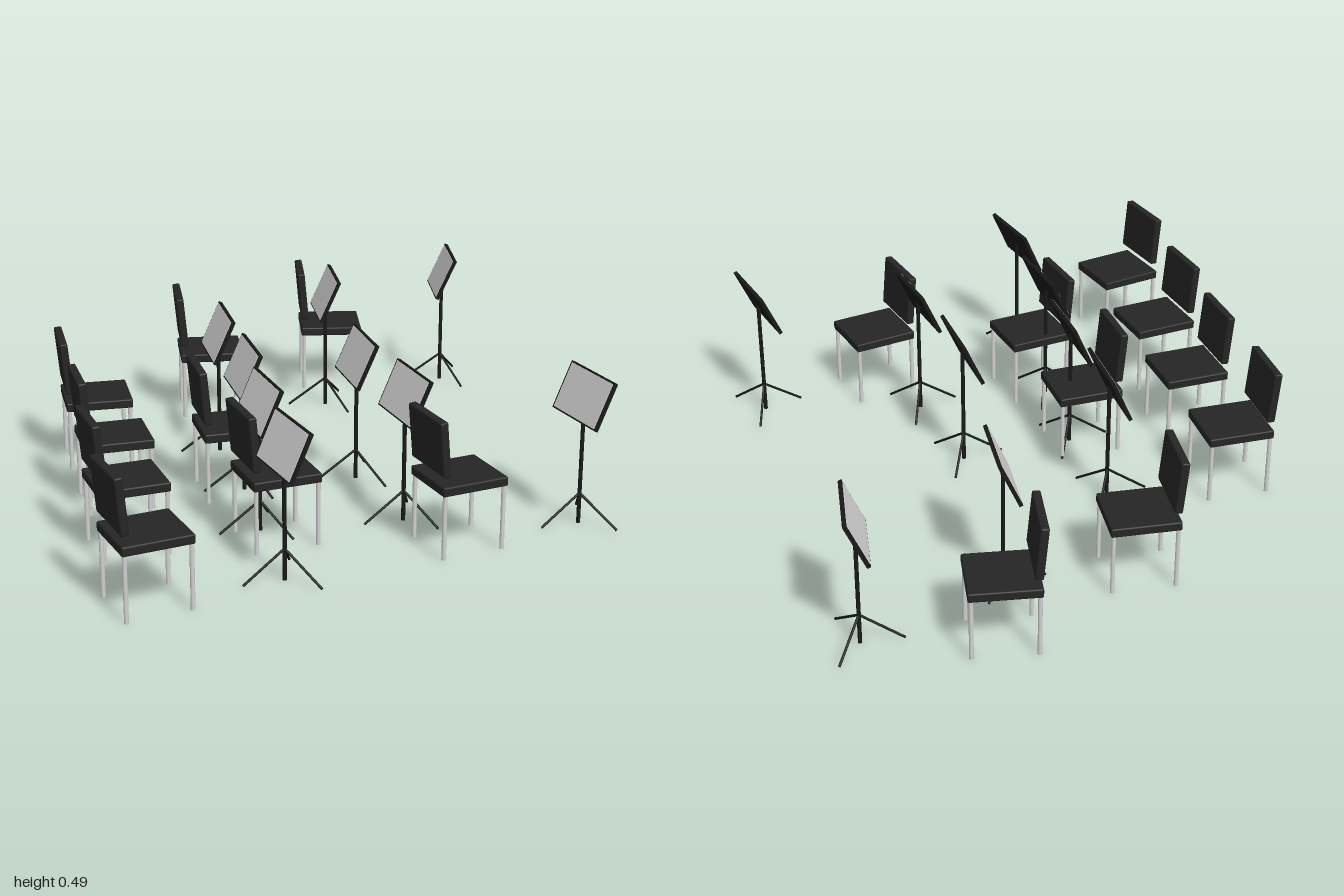
import * as THREE from 'three';
import { RoundedBoxGeometry } from 'three/addons/geometries/RoundedBoxGeometry.js';

const mat = (name, color) => {
  const m = new THREE.MeshStandardMaterial({ color });
  m.name = name;
  return m;
};

// x, z and turn in degrees; everything faces +x before turning
const CHAIRS = [
  [0.285, -0.88, -9.5], [-0.205, -0.68, -5.5], [-0.665, -0.28, -0.5],
  [-0.658, 0.11, 3], [-0.277, 0.10, 2], [-0.672, 0.478, 8],
  [-0.22, 0.513, 9], [-0.672, 0.875, 12.5], [0.31, 0.672, 12],
];
const STANDS = [
  [0.692, -0.79, -9], [0.205, -0.615, -5], [-0.253, -0.25, 0],
  [-0.24, 0.11, 2], [0.137, 0.098, 3], [-0.257, 0.445, 8],
  [0.195, 0.47, 9], [-0.26, 0.812, 12], [0.722, 0.612, 12],
];

export function createModel() {
  const cushion = mat('charcoal cushion', 0x252525);
  const steel = mat('pale steel', 0xd2d2d2);
  const black = mat('black metal', 0x191919);

  const add = (parent, name, geometry, material, x, y, z) => {
    const mesh = new THREE.Mesh(geometry, material);
    mesh.name = name;
    mesh.position.set(x, y, z);
    parent.add(mesh);
    return mesh;
  };

  // Thin rod between two points
  const rod = (parent, name, a, b, radius, material) => {
    const dir = b.clone().sub(a);
    const mid = a.clone().add(b).multiplyScalar(0.5);
    const mesh = add(parent, name, new THREE.CylinderGeometry(radius, radius, dir.length(), 10), material, mid.x, mid.y, mid.z);
    mesh.quaternion.setFromUnitVectors(new THREE.Vector3(0, 1, 0), dir.normalize());
  };

  const seatGeo = new RoundedBoxGeometry(0.22, 0.03, 0.207, 2, 0.005);
  const backGeo = new RoundedBoxGeometry(0.026, 0.175, 0.203, 2, 0.005);
  const legGeo = new THREE.CylinderGeometry(0.007, 0.007, 0.21, 12);

  function makeChair() {
    const chair = new THREE.Group();
    chair.name = 'chair';
    add(chair, 'seat', seatGeo, cushion, 0, 0.22, 0);
    add(chair, 'backrest', backGeo, cushion, -0.104, 0.353, 0).rotation.z = 0.09;
    for (const x of [-0.1, 0.1])
      for (const z of [-0.094, 0.094]) add(chair, 'chairLeg', legGeo, steel, x, 0.105, z);
    return chair;
  }

  const trayGeo = new THREE.BoxGeometry(0.012, 0.157, 0.239);
  const faceGeo = new THREE.BoxGeometry(0.002, 0.147, 0.226);

  function makeStand() {
    const stand = new THREE.Group();
    stand.name = 'musicStand';
    // Sloping desk with a pale reading face towards the chair
    const tray = new THREE.Group();
    tray.name = 'desk';
    tray.position.y = 0.42;
    tray.rotation.z = -0.42;
    add(tray, 'deskPlate', trayGeo, black, 0, 0, 0);
    add(tray, 'readingFace', faceGeo, steel, -0.0065, 0, 0);
    stand.add(tray);
    // Post and tripod
    const v = (x, y, z) => new THREE.Vector3(x, y, z);
    rod(stand, 'post', v(0, 0, 0), v(0, 0.41, 0), 0.0065, black);
    for (let i = 0; i < 3; i++) {
      const t = Math.PI + (i * Math.PI * 2) / 3;
      rod(stand, 'tripodLeg', v(0, 0.1, 0), v(0.133 * Math.cos(t), 0.006, 0.133 * Math.sin(t)), 0.004, black);
    }
    return stand;
  }

  const model = new THREE.Group();
  model.name = 'orchestraSeating';
  const place = (list, make) => {
    for (const [x, z, turn] of list) {
      const item = make();
      item.position.set(x, 0, z);
      item.rotation.y = THREE.MathUtils.degToRad(turn);
      model.add(item);
    }
  };
  place(CHAIRS, makeChair);
  place(STANDS, makeStand);
  return model;
}
